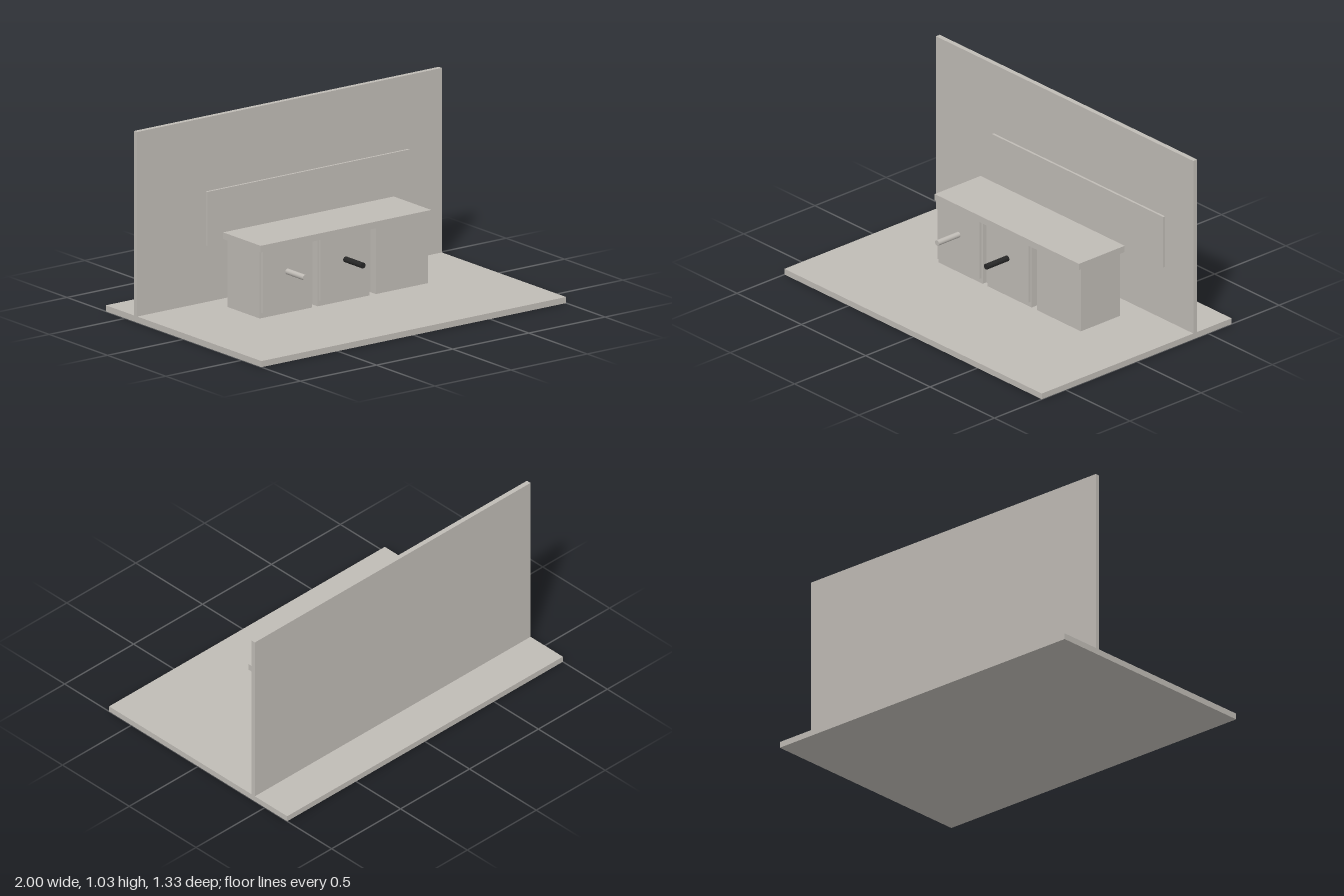
import * as THREE from 'three';

export function createModel() {
  const model = new THREE.Group();
  const stone = new THREE.MeshStandardMaterial({ name: 'warmGrey', color: 0xbfbbb5 });
  const dark = new THREE.MeshStandardMaterial({ name: 'darkGrey', color: 0x262626 });

  // Box given by its minimum and maximum corners
  const box = (name, [x0, y0, z0], [x1, y1, z1]) => {
    const mesh = new THREE.Mesh(new THREE.BoxGeometry(x1 - x0, y1 - y0, z1 - z0), stone);
    mesh.name = name;
    mesh.position.set((x0 + x1) / 2, (y0 + y1) / 2, (z0 + z1) / 2);
    model.add(mesh);
  };

  // Room
  box('floor', [-1, 0, -0.667], [1, 0.033, 0.667]);
  box('wall', [-1, 0.033, -0.425], [1, 1.033, -0.398]);
  box('wallPanel', [-0.55, 0.34, -0.398], [0.78, 0.633, -0.385]);

  // Counter on three cabinets
  box('countertop', [-0.525, 0.397, -0.282], [0.595, 0.433, 0.04]);
  const centres = [-0.345, 0.035, 0.417];
  for (const x of centres) box('cabinet', [x - 0.171, 0.033, -0.255], [x + 0.171, 0.397, 0.02]);

  // Doors with rod handles on the first two cabinets
  centres.slice(0, 2).forEach((x, i) => {
    box('door', [x - 0.163, 0.063, 0.02], [x + 0.163, 0.396, 0.036]);
    const handle = new THREE.Mesh(new THREE.CylinderGeometry(0.0155, 0.0155, 0.151, 32), i ? dark : stone);
    handle.name = 'handle';
    handle.rotation.x = Math.PI / 2;
    handle.position.set(x, 0.262, 0.1115);
    model.add(handle);
  });

  return model;
}
